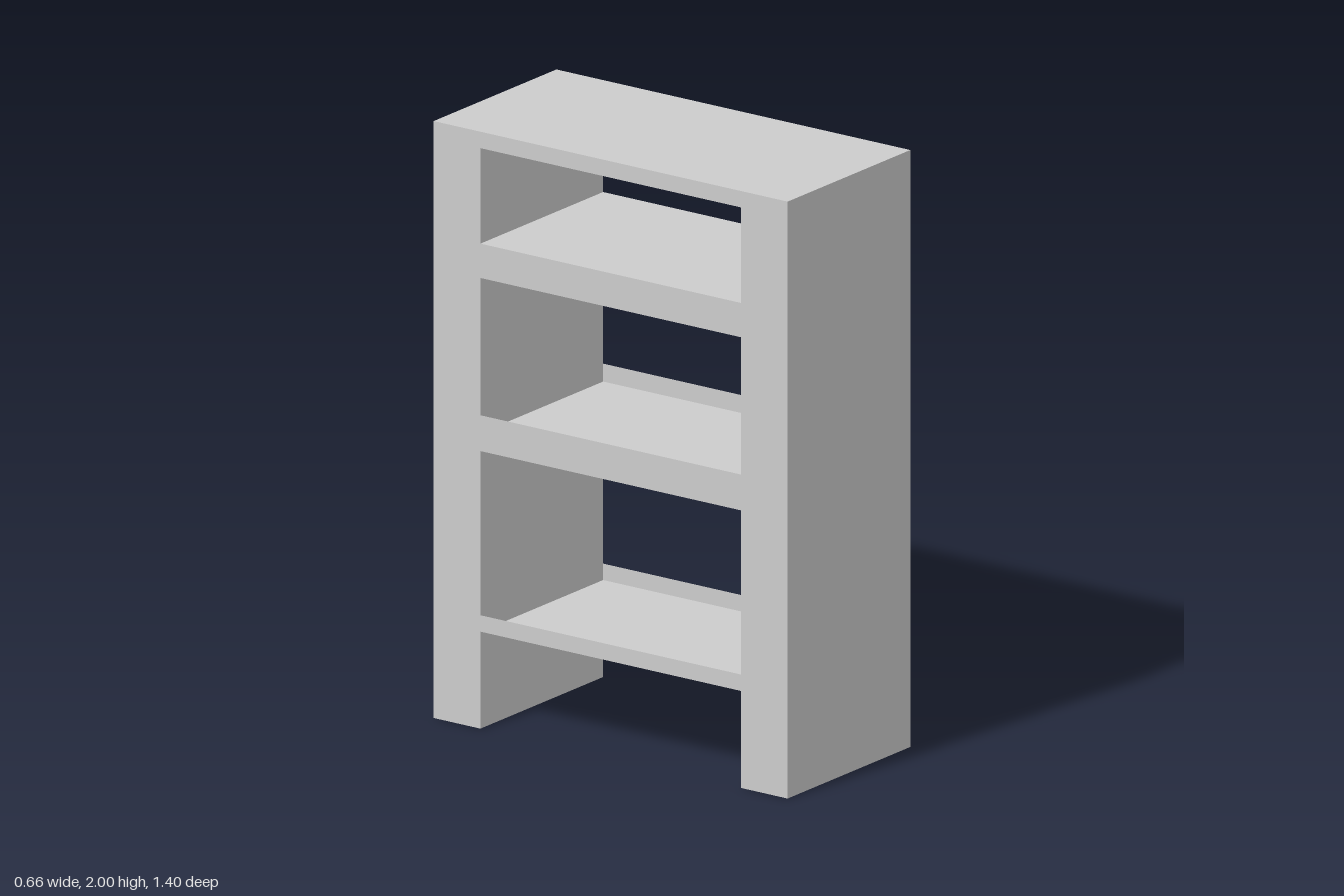
import * as THREE from 'three';

const W = 0.66;            // width along x
const INNER = 0.515;       // inner face of the posts
const OUTER = 0.70;        // outer face of the posts
const FACES = ['left', 'right', 'top', 'bottom', 'front', 'back'];

// Box made of thin sheets, with the named faces left out
function sheetBox(name, material, y0, y1, z0, z1, open = []) {
  const geo = new THREE.BoxGeometry(W, y1 - y0, z1 - z0);
  const index = Array.from(geo.index.array);
  geo.setIndex(index.filter((_, i) => !open.includes(FACES[Math.floor(i / 6)])));
  geo.clearGroups();
  geo.translate(0, (y0 + y1) / 2, (z0 + z1) / 2);
  const mesh = new THREE.Mesh(geo, material);
  mesh.name = name;
  return mesh;
}

export function createModel() {
  const group = new THREE.Group();
  group.name = 'shelfUnit';
  const grey = new THREE.MeshStandardMaterial({ color: 0xcccccc, side: THREE.DoubleSide });
  grey.name = 'light grey';

  // Posts: the back one is hollow and open underneath
  group.add(sheetBox('frontPost', grey, 0, 2, INNER, OUTER));
  group.add(sheetBox('backPost', grey, 0, 2, -OUTER, -INNER, ['bottom']));

  // Shelves span between the posts, so they need no end faces
  const shelf = (name, y0, y1, ...open) =>
    group.add(sheetBox(name, grey, y0, y1, -INNER, INNER, ['front', 'back', ...open]));

  shelf('topPanel', 1.945, 2, 'bottom');          // open below
  shelf('upperShelf', 1.51, 1.625);
  shelf('middleShelfBase', 0.93, 0.99);
  shelf('middleShelfRim', 0.99, 1.05, 'top', 'bottom'); // raised side rims
  shelf('lowerShelf', 0.325, 0.38, 'top');        // open tray

  return group;
}
